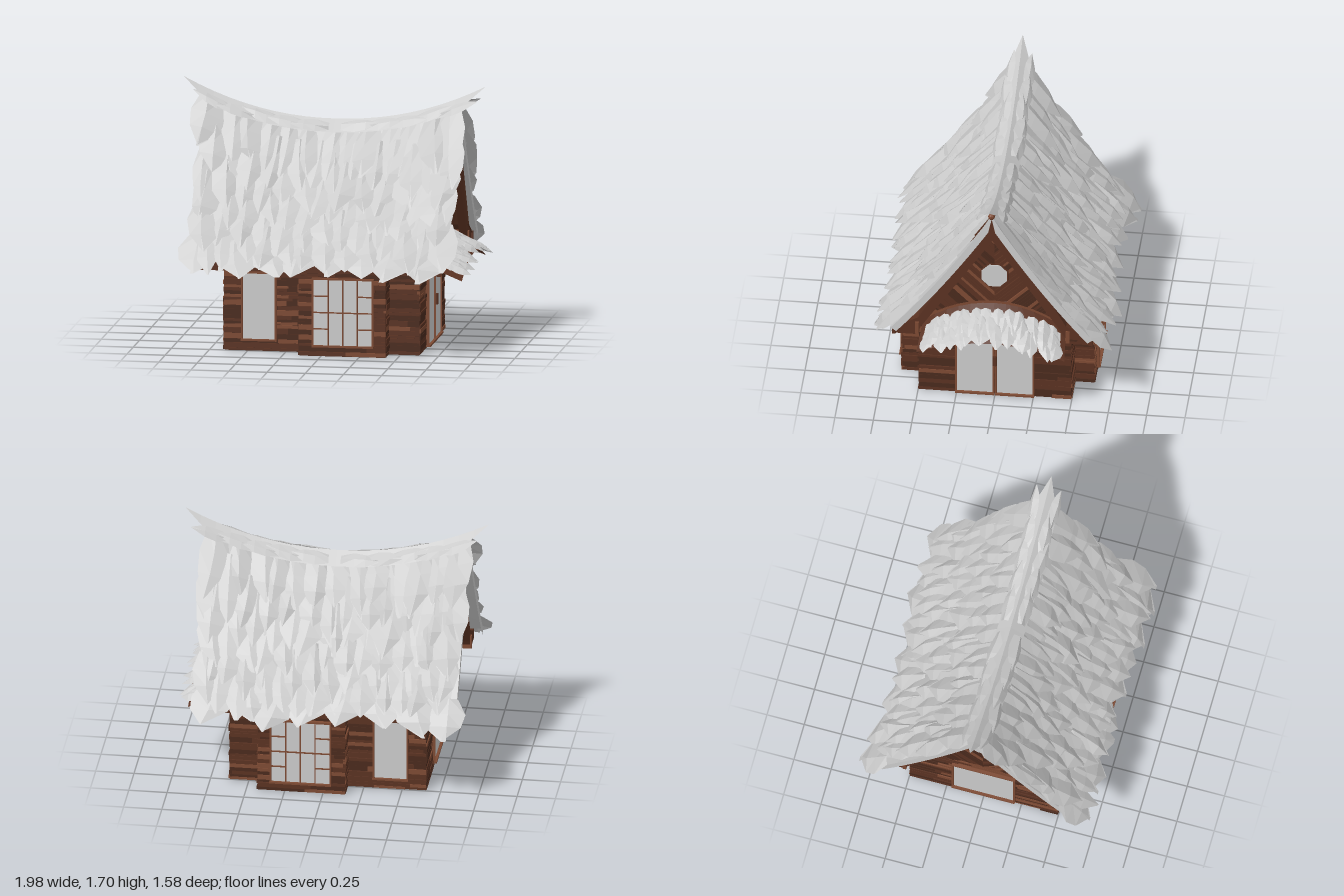
import * as THREE from 'three';
import { mergeGeometries } from 'three/addons/utils/BufferGeometryUtils.js';

const DARK = 0x4a2a1d, MID = 0x5a3222, LIGHT = 0x7d4a33, GREY = 0xcccccc;
const material = (color) => new THREE.MeshStandardMaterial({ color, flatShading: true, side: THREE.DoubleSide });
const mats = Object.fromEntries([DARK, MID, LIGHT, GREY].map((c) => [c, material(c)]));

let seed = 7;
const rand = (a = 0, b = 1) => {
  seed = (seed * 16807) % 2147483647;
  return a + (b - a) * (seed / 2147483647);
};

function add(parent, name, geo, color) {
  const mesh = new THREE.Mesh(geo, mats[color]);
  mesh.name = name;
  parent.add(mesh);
  return mesh;
}

const box = (x0, x1, y0, y1, z0, z1) =>
  new THREE.BoxGeometry(x1 - x0, y1 - y0, z1 - z0).translate((x0 + x1) / 2, (y0 + y1) / 2, (z0 + z1) / 2);

// Surface from a function of two parameters in 0..1
function sheet(fn, nu, nv) {
  const pos = [], idx = [];
  for (let i = 0; i <= nu; i++) for (let j = 0; j <= nv; j++) pos.push(...fn(i / nu, j / nv));
  for (let i = 0; i < nu; i++) for (let j = 0; j < nv; j++) {
    const a = i * (nv + 1) + j, b = a + nv + 1;
    idx.push(a, b, a + 1, b, b + 1, a + 1);
  }
  const g = new THREE.BufferGeometry();
  g.setAttribute('position', new THREE.Float32BufferAttribute(pos, 3));
  g.setIndex(idx);
  g.computeVertexNormals();
  return g;
}

// Folded pointed leaf laid on a surface map(a, u, offset)
function leaf(map, a0, u0, length, width, lift, fold) {
  const rows = [[0, 0.3], [0.35, 0.5], [0.65, 0.42], [1, 0]];
  const skew = rand(-0.3, 0.3) * width, mid = rand(-0.12, 0.12) * width;
  return sheet((t, s) => {
    const [d, w] = rows[Math.round(t * 3)], side = s * 2 - 1;
    const crease = w ? (1 - Math.abs(side)) * fold : 0;
    return map(a0 + side * w * width + skew * d * d + (side ? 0 : mid), u0 + d * length, d * lift + crease);
  }, 3, 2);
}

// Planks of mixed shade, grouped by colour
function planks() {
  const bins = { [DARK]: [], [MID]: [], [LIGHT]: [] };
  return {
    put(geo) { bins[[DARK, MID, DARK, MID, LIGHT][Math.floor(rand(0, 4.999))]].push(geo); },
    finish(parent, name) {
      for (const c of [DARK, MID, LIGHT]) if (bins[c].length) add(parent, name, mergeGeometries(bins[c]), c);
    },
  };
}

// Horizontal siding on a face turned by angle, a0..a1 across, at distance d
function siding(set, angle, a0, a1, d, y1) {
  for (let y = 0.004; y < y1 - 0.01;) {
    const top = Math.min(y1, y + rand(0.016, 0.04));
    for (let a = a0; a < a1 - 0.001;) {
      let end = a + rand(0.12, 0.45);
      if (end > a1 - 0.06) end = a1;
      set.put(box(a, end, y, top - 0.002, d - 0.01, d + rand(0.004, 0.014)).rotateY(angle));
      a = end;
    }
    y = top;
  }
}

// Framed pane facing +z, bars given as [x0, x1, y0, y1] in pane fractions
function pane(name, w, h, bars = []) {
  const g = new THREE.Group(), f = 0.012;
  g.name = name;
  add(g, 'glass', box(-w / 2, w / 2, -h / 2, h / 2, -0.02, 0.012), GREY);
  const frame = [
    box(-w / 2 - f, -w / 2, -h / 2 - f, h / 2 + f, -0.02, 0.022), box(w / 2, w / 2 + f, -h / 2 - f, h / 2 + f, -0.02, 0.022),
    box(-w / 2, w / 2, h / 2, h / 2 + f, -0.02, 0.022), box(-w / 2 - f, w / 2 + f, -h / 2 - f, -h / 2, -0.02, 0.03),
  ];
  for (const [x0, x1, y0, y1] of bars)
    frame.push(box((x0 - 0.5) * w - 0.004, (x1 - 0.5) * w + 0.004, (y0 - 0.5) * h - 0.004, (y1 - 0.5) * h + 0.004, 0, 0.019));
  add(g, 'frame', mergeGeometries(frame), LIGHT);
  return g;
}

function place(parent, obj, x, y, z, angle) {
  obj.position.set(x, y, z);
  obj.rotation.y = angle;
  parent.add(obj);
}

const ridgeY = (x) => 1.4 + 0.19 * (x / 0.88) ** 2;
// Thatch surface: z side, x along the ridge, u from ridge to eave
const thatch = (side) => (x, u, off) => [
  x, 0.54 + (ridgeY(x) - 0.54) * (1 - u) * (1 - 0.2 * u) + off * 0.6, side * Math.max(0, 0.74 * u + off * 0.8)];
// Awning surface: z across, u outwards
const awning = (z, u, off) => {
  const q = (z / 0.45) ** 2;
  return [0.62 + 0.35 * u, 0.78 - 0.17 * q - 0.2 * u + 0.09 * u * q + off, z * (1 + 0.06 * u)];
};

export function createModel() {
  seed = 7;
  const model = new THREE.Group();
  model.name = 'hut';

  // Walls and bays
  add(model, 'wallCore', box(-0.65, 0.62, 0, 0.62, -0.49, 0.49), DARK);
  add(model, 'bayCore', box(-0.14, 0.42, 0, 0.58, -0.62, 0.62), DARK);
  const set = planks();
  for (const angle of [0, Math.PI]) {
    const m = angle ? -1 : 1;
    const span = (a, b, d) => siding(set, angle, Math.min(a * m, b * m), Math.max(a * m, b * m), d, 0.6);
    span(-0.655, -0.14, 0.49);
    span(0.42, 0.625, 0.49);
    span(-0.145, 0.425, 0.62);
  }
  for (const [angle, d] of [[Math.PI / 2, 0.62], [-Math.PI / 2, 0.65]]) siding(set, angle, -0.495, 0.495, d, 0.62);
  for (const [angle, d] of [[Math.PI / 2, 0.42], [-Math.PI / 2, 0.14]])
    for (const a of [-0.625, 0.495]) siding(set, angle, a, a + 0.13, d, 0.58);
  set.finish(model, 'siding');

  // Windows, same on front and back
  const bars = [0.25, 0.5, 0.75].map((x) => [x, x, 0, 1]).concat([[0, 1, 0.5, 0.5]]);
  for (const y of [0.25, 0.75]) bars.push([0, 0.25, y, y], [0.75, 1, y, y]);
  for (const s of [1, -1]) {
    const angle = s > 0 ? 0 : Math.PI;
    place(model, pane('bayWindow', 0.38, 0.43, bars), 0.145, 0.29, s * 0.625, angle);
    place(model, pane('sideWindow', 0.21, 0.43), -0.425, 0.295, s * 0.495, angle);
  }
  place(model, pane('endWindow', 0.4, 0.38), -0.656, 0.26, 0, -Math.PI / 2);

  // Double door
  for (const s of [1, -1]) place(model, pane('door', 0.232, 0.53), 0.628, 0.29, s * 0.13, Math.PI / 2);
  add(model, 'doorHandle', box(0.62, 0.665, 0.25, 0.32, -0.012, 0.012), MID);
  add(model, 'lintel', box(0.6, 0.66, 0.575, 0.62, -0.48, 0.48), LIGHT);

  // Gable ends: backing, chevron planks, trim, round window, bargeboard
  for (const end of [1, -1]) {
    const gable = new THREE.Group();
    gable.name = 'gable';
    const poly = (pts, depth, z = 0) => {
      const shape = new THREE.Shape(pts.map(([a, b]) => new THREE.Vector2(a, b)));
      return new THREE.ExtrudeGeometry(shape, { depth, bevelEnabled: false }).translate(0, 0, z);
    };
    add(gable, 'gableWall', poly([[-0.5, 0.6], [0.5, 0.6], [0, 1.45]], 0.03, -0.02), DARK);
    const chevrons = planks();
    for (let c = 0.16; c < 1.32;) {
      const h = rand(0.018, 0.034), t = c + h - 0.003;
      const inner = (k) => Math.max(0, 0.6 - k), outer = (k) => 0.376 * (1.38 - k);
      for (const s of [1, -1]) {
        const pts = [[inner(c), c + inner(c)], [outer(c), c + outer(c)], [outer(t), t + outer(t)], [inner(t), t + inner(t)]];
        if (s < 0) pts.reverse();
        if (outer(c) > inner(c)) chevrons.put(poly(pts.map(([a, b]) => [a * s, b]), rand(0.012, 0.025), 0.005));
      }
      c += h;
    }
    chevrons.finish(gable, 'chevronPlanks');
    for (const s of [1, -1]) {
      add(gable, 'gableTrim', poly([[0, 1.34], [s * 0.46, 0.62], [s * 0.43, 0.62], [0, 1.29]], 0.05), LIGHT);
      add(gable, 'bargeboard', poly([[0, 1.57], [s * 0.3, 1.0], [s * 0.48, 0.69], [s * 0.645, 0.61], [s * 0.645, 0.55],
        [s * 0.5, 0.55], [s * 0.46, 0.62], [0, 1.33]], 0.05, 0.1), MID);
      add(gable, 'bracket', box(s * 0.49 - 0.012, s * 0.49 + 0.012, 0.56, 0.65, 0, 0.16), LIGHT);
    }
    const round = (r, d) => new THREE.CylinderGeometry(r, r, d, 8).rotateX(Math.PI / 2).rotateZ(Math.PI / 8).translate(0, 0.97, d / 2);
    add(gable, 'roundWindowFrame', round(0.097, 0.03), MID);
    add(gable, 'roundWindow', round(0.09, 0.036), GREY);
    place(model, gable, end > 0 ? 0.63 : -0.66, 0, 0, end * Math.PI / 2);
  }

  // Roof boarding, eave boards and ridge log
  const boards = [[0, 1], [0.3, 0.46], [0.48, 0.1], [0.645, 0]];
  for (const s of [1, -1]) {
    add(model, 'roofBoards', sheet((t, v) => {
      const x = -0.81 + 1.6 * t, [z, f] = boards[Math.round(v * 3)];
      return [x, 0.6 + (ridgeY(x) - 0.63) * f, s * z];
    }, 16, 3), MID);
    add(model, 'eaveBoard', box(-0.81, 0.79, 0.55, 0.62, s * 0.64 - 0.012, s * 0.64 + 0.012), MID);
    add(model, 'soffit', box(-0.8, 0.78, 0.57, 0.585, s * 0.56 - 0.08, s * 0.56 + 0.08), DARK);
  }
  const log = Array.from({ length: 9 }, (_, i) => -0.82 + 1.65 * i / 8).map((x) => new THREE.Vector3(x, ridgeY(x) - 0.01, 0));
  add(model, 'ridgeLog', new THREE.TubeGeometry(new THREE.CatmullRomCurve3(log), 16, 0.022, 8), MID);
  for (const end of [0, 8]) add(model, 'ridgeLogEnd', new THREE.SphereGeometry(0.022, 8, 6).translate(...log[end].toArray()), LIGHT);

  // Thatch: closed base layer under overlapping rows of leaves
  for (const s of [1, -1]) {
    const map = thatch(s), parts = [];
    parts.push(sheet((t, v) => map(-0.87 + 1.69 * t, v * 0.9, -0.01), 16, 10));
    for (const x of [-0.87, 0.82]) parts.push(sheet((t, v) => map(x, v * 0.9, -0.01 - 0.045 * t), 1, 10));
    const rows = 7;
    for (let r = 0; r < rows; r++) {
      const last = r === 0, count = last ? 8 : 13;
      const u = last ? 0.76 : 0.78 - r * 0.13;
      for (let i = 0; i < count; i++) {
        const f = (i + (r % 2 && !last ? 0.75 : 0.4)) / count;
        const x = -0.86 + 1.69 * f + rand(-0.02, 0.02);
        const width = last ? 0.29 : rand(0.15, 0.23);
        parts.push(leaf(map, Math.max(-0.82, Math.min(0.77, x)), Math.max(0, u + rand(-0.04, 0.04)),
          last ? rand(0.25, 0.28) : rand(0.26, 0.36), width, last ? 0.015 : rand(0.025, 0.05), rand(0.015, 0.035)));
      }
    }
    add(model, 'roofThatch', mergeGeometries(parts), GREY);
  }

  // Ridge cap rising to a point at each end, with side leaves
  const cap = [sheet((t, v) => {
    const x = -1 + 1.98 * t, side = v * 2 - 1, taper = Math.min(1, (1 - Math.abs(t * 2 - 1)) * 5);
    const y = 1.45 + 0.25 * Math.abs(x) ** 2.1;
    return [x, y - Math.abs(side) * 0.075 * taper, side * 0.09 * taper];
  }, 20, 2)];
  for (const s of [1, -1]) for (let i = 0; i < 10; i++) {
    const x0 = 0.04 + (i % 5) * 0.16, dir = i < 5 ? 1 : -1;
    const map = (a, u, off) => {
      const x = dir * u;
      return [x, 1.45 + 0.22 * x * x - a * 0.8 + off, s * (a + off)];
    };
    cap.push(leaf(map, 0.055, x0, 0.25, 0.08, 0.012, 0.012));
  }
  add(model, 'ridgeCap', mergeGeometries(cap), GREY);

  // Door awning
  add(model, 'awningBoards', sheet((t, v) => awning(-0.46 + 0.92 * t, v * 0.8, -0.025 * v), 12, 2), MID);
  add(model, 'awningBeam', sheet((t, v) => awning(-0.47 + 0.94 * t, 0.12, -0.035 + 0.05 * v), 12, 1), LIGHT);
  const fringe = [sheet((t, v) => awning(-0.43 + 0.86 * t, 0.3 + 0.45 * v, 0.0), 12, 2)];
  for (const [u, n] of [[0.55, 14], [0.4, 13], [0.25, 12]]) for (let i = 0; i < n; i++) {
    const z = -0.42 + 0.84 * (i + 0.5) / n + rand(-0.015, 0.015);
    fringe.push(leaf(awning, z, u, rand(0.34, 0.46), rand(0.08, 0.12), rand(-0.02, 0.02), rand(0.012, 0.025)));
  }
  add(model, 'awningThatch', mergeGeometries(fringe), GREY);

  return model;
}
